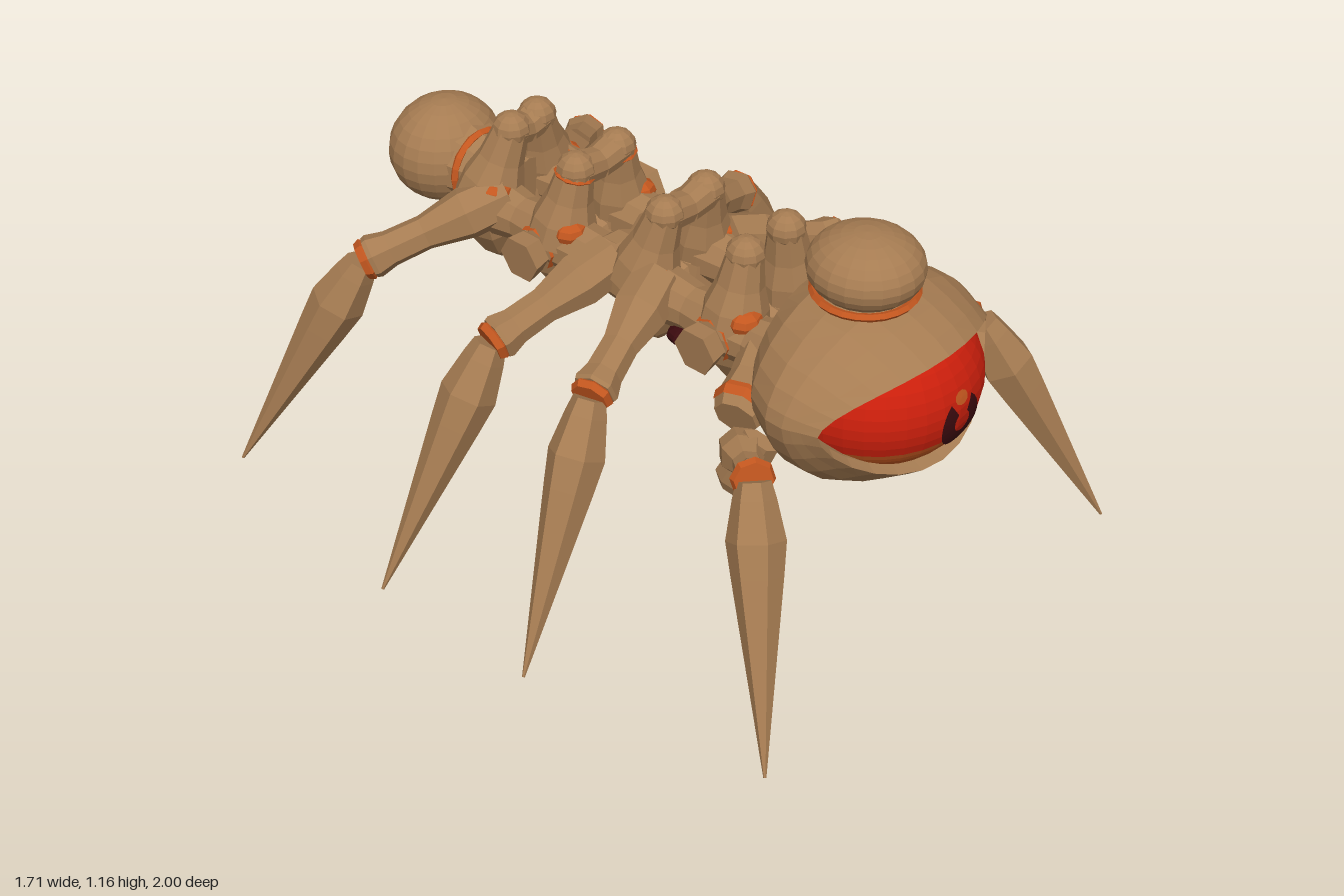
import * as THREE from 'three';

const mat = (name, color) => {
  const m = new THREE.MeshStandardMaterial({ color, flatShading: true });
  m.name = name;
  return m;
};

export function createModel() {
  const brown = mat('brown shell', 0xa67c52);
  const red = mat('red eye', 0xcc1f0c);
  const orange = mat('orange joint', 0xc4571f);
  const dark = mat('dark pupil', 0x3a0a0e);
  const root = new THREE.Group();
  root.name = 'crawler';
  const V = (x, y, z) => new THREE.Vector3(x, y, z);

  const add = (name, geo, material, parent = root) => {
    const m = new THREE.Mesh(geo, material);
    m.name = name;
    parent.add(m);
    return m;
  };
  const ball = (name, material, p, s, parent = root, w = 20, h = 14) => {
    const m = add(name, new THREE.SphereGeometry(1, w, h), material, parent);
    m.position.copy(p);
    m.scale.copy(s);
  };
  // Turned limb from a to b; the profile holds [fraction along, radius]
  const limb = (name, a, b, profile, sides, material = brown, parent = root) => {
    const d = b.clone().sub(a), len = d.length();
    const pts = profile.map(([t, r]) => new THREE.Vector2(r, t * len));
    const m = add(name, new THREE.LatheGeometry(pts, sides), material, parent);
    m.position.copy(a);
    m.quaternion.setFromUnitVectors(V(0, 1, 0), d.normalize());
    return m;
  };

  // Head: almond rings of [z, half width, top, bottom, sweep back at the sides]
  const rings = [
    [0.44, 0.02, 0.79, 0.76, 0], [0.46, 0.13, 0.88, 0.67, 0], [0.50, 0.23, 0.95, 0.58, 0],
    [0.57, 0.32, 0.99, 0.505, 0], [0.66, 0.37, 1.0, 0.47, 0], [0.75, 0.372, 0.995, 0.47, 0.25],
    [0.83, 0.365, 0.97, 0.505, 0.7], [0.90, 0.355, 0.94, 0.55, 1.1], [0.945, 0.34, 0.91, 0.585, 1.2],
    [0.91, 0.32, 0.90, 0.60, 1.3], [0.76, 0.29, 0.88, 0.62, 1.3],
  ];
  const N = 28, pos = [], idx = [];
  rings.forEach(([z, rx, top, bottom, k], j) => {
    for (let i = 0; i < N; i++) {
      const a = (i / N) * Math.PI * 2, x = rx * Math.cos(a), s = Math.sin(a);
      const h = Math.abs(s) ** 1.2;
      pos.push(x, 0.775 + h * (s > 0 ? top - 0.775 : bottom - 0.775), z - k * x * x);
      if (j < rings.length - 1) {
        const p = j * N + i, q = j * N + (i + 1) % N;
        idx.push(p, q, p + N, q, q + N, p + N);
      }
    }
  });
  const headGeo = new THREE.BufferGeometry();
  headGeo.setAttribute('position', new THREE.Float32BufferAttribute(pos, 3));
  headGeo.setIndex(idx);
  headGeo.computeVertexNormals();
  add('head', headGeo, brown);

  // Eye, with an orange lower edge
  const eyeC = V(0, 0.755, 0.72), eyeS = V(0.285, 0.22, 0.27), cut = 0.615 * Math.PI;
  [['eye', red, 0, cut], ['lowerEye', orange, cut, Math.PI - cut]].forEach(([name, m, start, len]) => {
    const e = add(name, new THREE.SphereGeometry(1, 32, 14, 0, Math.PI * 2, start, len), m);
    e.position.copy(eyeC);
    e.scale.copy(eyeS);
  });
  // Flat patches laid over the front of the eye
  const onEye = (name, geo, material, y, sy) => {
    geo.scale(1, sy, 1);
    geo.translate(0, y, 0);
    const p = geo.attributes.position;
    for (let i = 0; i < p.count; i++) {
      const u = p.getX(i) / eyeS.x, v = (p.getY(i) - eyeC.y) / eyeS.y;
      p.setZ(i, eyeC.z + eyeS.z * Math.sqrt(Math.max(0, 1 - u * u - v * v)) + 0.008);
    }
    geo.computeVertexNormals();
    add(name, geo, material);
  };
  onEye('pupil', new THREE.RingGeometry(0.028, 0.07, 20, 4, Math.PI * 0.69, Math.PI * 1.62), dark, 0.735, 1.1);
  onEye('pupilGlint', new THREE.CircleGeometry(0.024, 10), orange, 0.805, 0.8);

  // Crown dome and tail ball
  ball('crown', brown, V(0, 1.06, 0.67), V(0.153, 0.1, 0.157));
  const crownRing = add('crownRing', new THREE.TorusGeometry(0.133, 0.012, 5, 24), orange);
  crownRing.position.set(0, 0.99, 0.67);
  crownRing.rotation.x = Math.PI / 2;
  ball('tailBall', brown, V(0, 0.775, -0.845), V(0.168, 0.153, 0.155));
  limb('tailNeck', V(0, 0.76, -0.52), V(0, 0.77, -0.76), [[0, 0], [0, 0.11], [0.5, 0.09], [1, 0.12]], 10);
  const tailRing = add('tailRing', new THREE.TorusGeometry(0.1, 0.014, 5, 20), orange);
  tailRing.position.set(0, 0.768, -0.708);

  // Vertebrae: [z of base, z of peak, z of lower spike]
  const vertebrae = [[0.33, 0.34, 0.33], [0.01, 0.06, 0.02], [-0.29, -0.26, -0.3], [-0.57, -0.53, -0.57]];
  // Walking legs: root, knee, tip
  const legs = [
    [[0.34, 0.62, 0.55], [0.45, 0.655, 0.69], [0.715, 0.0, 0.975]],
    [[0.13, 0.81, 0.08], [0.48, 0.68, 0.175], [0.85, 0.0, 0.26]],
    [[0.13, 0.81, -0.08], [0.48, 0.68, -0.175], [0.85, 0.0, -0.27]],
    [[0.10, 0.81, -0.50], [0.43, 0.665, -0.715], [0.715, 0.0, -0.985]],
  ];
  const bone = [[0, 0], [0, 0.07], [0.3, 0.075], [0.6, 0.05], [0.85, 0.052], [0.97, 0.064], [1, 0.06], [1, 0]];
  const claw = [[0, 0], [0, 0.045], [0.06, 0.057], [0.2, 0.078], [0.32, 0.068], [1, 0.004], [1, 0]];

  for (const s of [1, -1]) {
    const P = (x, y, z) => V(x * s, y, z);
    const half = new THREE.Group();
    half.name = s > 0 ? 'leftHalf' : 'rightHalf';
    root.add(half);

    // Long side rail, thick at each vertebra
    limb('spineRail', P(0.12, 0.765, 0.52), P(0.105, 0.765, -0.62), [[0, 0.09], [0.09, 0.07], [0.17, 0.082],
      [0.28, 0.066], [0.40, 0.082], [0.43, 0.085], [0.55, 0.07], [0.70, 0.082], [0.83, 0.066], [0.93, 0.085],
      [1, 0.05], [1, 0]], 10, brown, half);
    limb('hipBridge', P(0.12, 0.77, -0.1), P(0, 0.77, -0.1), [[0, 0.08], [0.5, 0.075], [1, 0.05]], 10, brown, half);

    vertebrae.forEach(([zb, zp, zl], i) => {
      // Rounded arch above the rails
      const px = i === 3 ? 0.05 : 0.08;
      limb('backSpike', P(0.115, 0.77, zb), P(px, 0.985, zp),
        [[0, 0.095], [0.3, 0.088], [0.6, 0.065], [1, 0.05]], 9, brown, half);
      ball('spikeTip', brown, P(px, 0.985, zp), V(0.054, 0.05, 0.054), half, 10, 8);
      if (i > 0) limb('backBridge', P(px, 0.98, zp), P(0, 0.965, zp), [[0, 0.052], [1, 0.046]], 10, brown, half);
      // Pointed keel below the rails
      limb('bellySpike', P(0.10, 0.75, zl), P(0.06, 0.57, zl),
        [[0, 0.09], [0.35, 0.085], [0.8, 0.05], [1, 0.02], [1, 0]], 7, brown, half);
      limb('bellyBridge', P(0.12, 0.735, zb), P(0, 0.715, zb), [[0, 0.07], [1, 0.05]], 8, brown, half);
      ball('spikeJoint', orange, P(0.135, 0.825, zb + 0.06), V(0.05, 0.035, 0.045), half, 8, 6);
    });
    limb('spikeRing', P(0.083, 0.962, -0.264), P(0.081, 0.976, -0.262), [[0, 0.052], [0.5, 0.058], [1, 0.052]], 10, orange, half);

    // Short sawn-off leg stumps
    [0.32, -0.31].forEach((z) => {
      limb('stump', P(0.12, 0.765, z), P(0.255, 0.755, z),
        [[0, 0.06], [0.45, 0.045], [0.6, 0.06], [1, 0.068], [1, 0]], 6, brown, half);
      limb('stumpRing', P(0.16, 0.762, z), P(0.195, 0.76, z), [[0, 0.05], [0.5, 0.066], [1, 0.062]], 8, orange, half);
    });
    ball('darkPore', dark, P(0.165, 0.70, 0.195), V(0.033, 0.025, 0.045), half, 8, 6);

    // Front shoulder and the flat spur hanging behind the head
    limb('shoulder', P(0.10, 0.76, 0.46), P(0.32, 0.68, 0.52),
      [[0, 0.085], [0.5, 0.07], [0.85, 0.075], [1, 0.06], [1, 0]], 8, brown, half);
    limb('shoulderRing', P(0.25, 0.705, 0.50), P(0.297, 0.688, 0.513), [[0, 0.07], [0.5, 0.08], [1, 0.074]], 8, orange, half);
    limb('spur', P(0.335, 0.67, 0.62), P(0.35, 0.475, 0.53),
      [[0, 0], [0, 0.05], [0.5, 0.055], [0.85, 0.058], [1, 0.03], [1, 0]], 6, brown, half).scale.x = 0.5;

    // Legs
    legs.forEach(([r, k, t], i) => {
      const leg = new THREE.Group();
      leg.name = 'leg' + (i + 1);
      half.add(leg);
      const a = P(...r), b = P(...k), c = P(...t);
      limb('upperLeg', a, b, i ? bone : bone.map(([f, q]) => [f, q * 0.8]), 7, brown, leg);
      const dir = b.clone().sub(a).normalize();
      limb('kneeRing', b.clone().addScaledVector(dir, -0.006), b.clone().addScaledVector(dir, 0.024),
        [[0, 0.05], [0.4, 0.06], [1, 0.052], [1, 0]], 8, orange, leg);
      limb('lowerLeg', b.clone().addScaledVector(dir, 0.02), c, claw, 6, brown, leg);
    });
  }
  return root;
}
